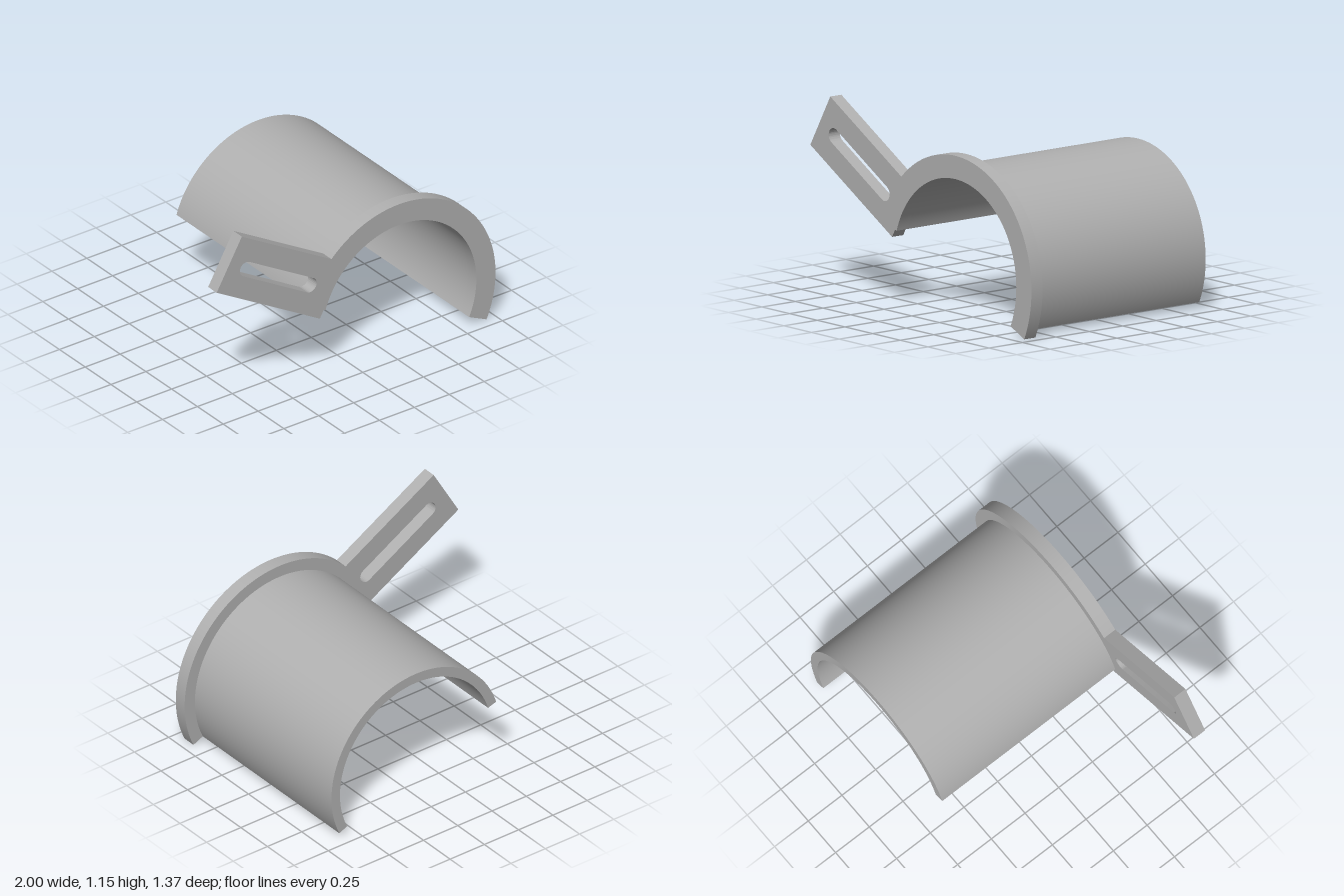
import * as THREE from 'three';
import { toCreasedNormals } from 'three/addons/utils/BufferGeometryUtils.js';

const rad = THREE.MathUtils.degToRad;
const CX = 0.31, CY = 0.292;              // axis of the half pipe
const INNER = 0.553, TUBE = 0.615, RIM = 0.69;
const START = rad(-25), END = rad(162.5); // open arc of the pipe
const TILT = rad(150);                    // direction the slotted arm points
const HALF = 0.683, FLANGE = 0.083;

const polar = (r, a) => [CX + r * Math.cos(a), CY + r * Math.sin(a)];

// Point in the arm's frame: u along the arm from the axis, v across it
const arm = (u, v) => [
  CX + u * Math.cos(TILT) - v * Math.sin(TILT),
  CY + u * Math.sin(TILT) + v * Math.cos(TILT),
];

function extrude(shape, depth, z) {
  const geo = new THREE.ExtrudeGeometry(shape, { depth, bevelEnabled: false, curveSegments: 80 });
  geo.translate(0, 0, z);
  return toCreasedNormals(geo, rad(25));
}

function tubeShape() {
  const s = new THREE.Shape();
  s.absarc(CX, CY, TUBE, START, END, false);
  s.lineTo(...polar(INNER, END));
  s.absarc(CX, CY, INNER, END, START, true);
  s.closePath();
  return s;
}

// Rim and arm as one outline; the arm's inner edge is tangent to the bore
function flangeShape() {
  const near = INNER + 0.001, far = near + 0.853;
  const top = -0.183, bottom = 0.177;
  const s = new THREE.Shape();
  s.absarc(CX, CY, RIM, START, TILT + Math.asin(top / RIM), false);
  s.lineTo(...arm(far, top));
  s.lineTo(...arm(far, bottom));
  s.lineTo(...arm(near, bottom));
  s.lineTo(...polar(near / Math.cos(END - TILT), END));
  s.lineTo(...polar(INNER, END));
  s.absarc(CX, CY, INNER, END, START, true);
  s.closePath();

  // Rounded slot
  const slot = new THREE.Path(), r = 0.046;
  const a = [-0.785, 0.927], b = [-0.327, 0.662];
  slot.absarc(...a, r, TILT - Math.PI / 2, TILT + Math.PI / 2, false);
  slot.absarc(...b, r, TILT + Math.PI / 2, TILT + Math.PI * 1.5, false);
  slot.closePath();
  s.holes.push(slot);
  return s;
}

export function createModel() {
  const grey = new THREE.MeshStandardMaterial({ color: 0xb0b0b0 });
  grey.name = 'grey';
  const group = new THREE.Group();
  group.name = 'pipeBracket';

  const add = (name, geo) => {
    const mesh = new THREE.Mesh(geo, grey);
    mesh.name = name;
    group.add(mesh);
  };
  add('halfPipe', extrude(tubeShape(), 2 * HALF - FLANGE, -HALF));
  add('slottedFlange', extrude(flangeShape(), FLANGE, HALF - FLANGE));
  return group;
}
